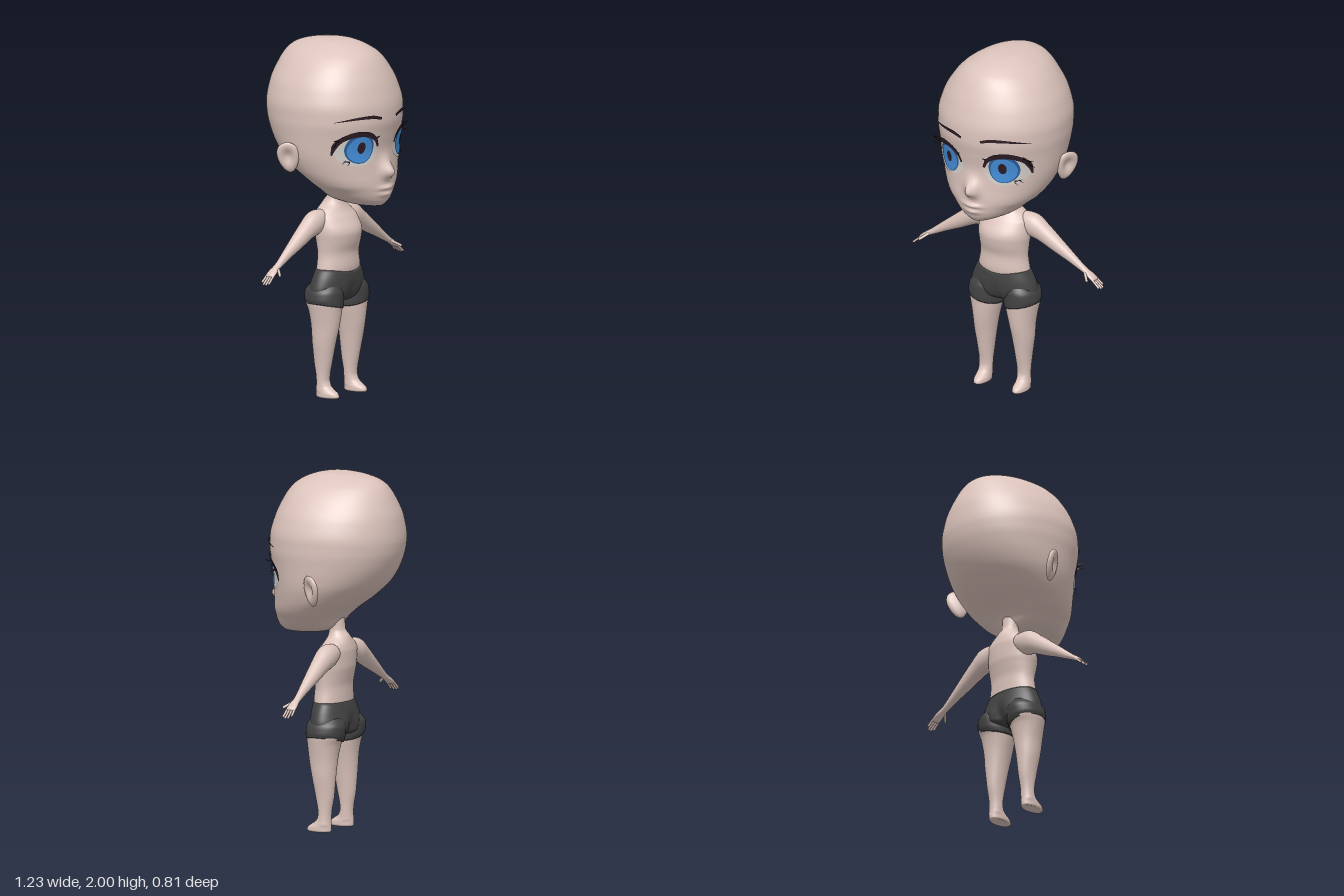
import * as THREE from 'three';

const mat = (name, color, side = THREE.FrontSide) => {
  const m = new THREE.MeshStandardMaterial({ color, side });
  m.name = name;
  return m;
};

// Smooth monotone interpolation of rows [y, ...values], listed from top to bottom.
function profile(rows, y) {
  let i = 0;
  while (i < rows.length - 2 && y < rows[i + 1][0]) i++;
  const h = rows[i + 1][0] - rows[i][0], t = (y - rows[i][0]) / h;
  const sec = (k, c) => (rows[k + 1][c] - rows[k][c]) / (rows[k + 1][0] - rows[k][0]);
  const slope = (k, c) => {
    const a = sec(Math.max(k - 1, 0), c), b = sec(Math.min(k, rows.length - 2), c);
    return a * b > 0 ? (2 * a * b) / (a + b) : 0;
  };
  return rows[i].map((v, c) => c === 0 ? y :
    v * (1 + 2 * t) * (1 - t) ** 2 + rows[i + 1][c] * t * t * (3 - 2 * t) +
    h * (slope(i, c) * t * (1 - t) ** 2 + slope(i + 1, c) * t * t * (t - 1)));
}

function levels(rows, steps) {
  const ys = [];
  for (let i = 0; i < rows.length - 1; i++)
    for (let k = 0; k < steps; k++) ys.push(rows[i][0] + (rows[i + 1][0] - rows[i][0]) * k / steps);
  return [...ys, rows[rows.length - 1][0]];
}

// Closed skin through rings of points, with both ends capped.
function loft(rings) {
  const n = rings[0].length, pos = rings.flat(2), index = [];
  for (let i = 0; i < rings.length - 1; i++)
    for (let j = 0; j < n; j++) {
      const a = i * n + j, b = i * n + (j + 1) % n;
      index.push(a, b, a + n, b, b + n, a + n);
    }
  [0, rings.length - 1].forEach((r, end) => {
    const c = pos.length / 3;
    for (let k = 0; k < 3; k++) pos.push(rings[r].reduce((s, p) => s + p[k], 0) / n);
    for (let j = 0; j < n; j++) {
      const a = r * n + j, b = r * n + (j + 1) % n;
      index.push(...(end ? [c, a, b] : [c, b, a]));
    }
  });
  return finish(pos, index);
}

function finish(pos, index) {
  const g = new THREE.BufferGeometry();
  g.setAttribute('position', new THREE.Float32BufferAttribute(pos, 3));
  g.setIndex(index);
  g.computeVertexNormals();
  return g;
}

// Upright form from rows [y, halfWidth, zFront, zBack, zCentre, xCentre]; warp edits each point.
function form(rows, steps, seg, warp = p => p, grow = 0) {
  return loft(levels(rows, steps).map(y => {
    const [, w, zf, zb, zc, cx = 0] = profile(rows, y);
    return Array.from({ length: seg }, (_, j) => {
      const a = j / seg * Math.PI * 2, s = Math.sin(a), c = Math.cos(a);
      return warp([cx + (w + grow) * c, y, zc + (s > 0 ? zf - zc + grow : zc - zb + grow) * s], s, c);
    });
  }));
}

const HEAD = [
  [2, 0, -.02, -.02, -.02], [1.995, .075, .06, -.12, -.02], [1.98, .125, .125, -.21, -.02],
  [1.955, .175, .185, -.275, -.02], [1.92, .225, .235, -.315, -.01], [1.86, .28, .278, -.35, 0],
  [1.75, .345, .328, -.39, 0], [1.64, .373, .356, -.403, 0], [1.58, .373, .358, -.396, 0],
  [1.5, .365, .345, -.37, 0], [1.4, .35, .33, -.31, .01], [1.3, .315, .336, -.2, .04],
  [1.22, .262, .343, -.09, .09], [1.18, .215, .343, -.05, .11], [1.135, .16, .335, -.02, .14],
  [1.11, .105, .322, .03, .17], [1.095, .06, .305, .1, .2], [1.088, 0, .22, .22, .22]];
const TORSO = [
  [1.22, .05, .03, -.05, -.01], [1.12, .048, .03, -.058, -.015], [1.08, .065, .037, -.085, -.025],
  [1.04, .12, .055, -.098, -.03], [1, .15, .085, -.105, -.02], [.92, .155, .125, -.103, 0],
  [.87, .15, .118, -.093, 0], [.8, .145, .1, -.08, 0], [.73, .155, .104, -.08, 0], [.66, .17, .09, -.08, 0]];
const PELVIS = [
  [.72, .157, .106, -.082, 0], [.66, .187, .108, -.1, 0], [.6, .203, .104, -.114, 0],
  [.56, .2, .09, -.108, 0], [.535, .12, .06, -.08, 0], [.525, .03, .02, -.03, 0]];
const LEG = [
  [.64, .07, .08, -.085, 0, .1], [.59, .096, .102, -.114, 0, .112], [.54, .1, .104, -.11, 0, .114],
  [.49, .092, .1, -.088, 0, .114], [.4, .074, .09, -.072, 0, .117], [.3, .061, .07, -.065, 0, .122],
  [.2, .047, .05, -.058, 0, .122], [.1, .039, .033, -.042, 0, .123], [.065, .039, .045, -.041, 0, .124],
  [.045, .04, .072, -.042, 0, .125], [.025, .041, .1, -.044, .02, .125], [.01, .041, .106, -.044, .02, .125],
  [0, .035, .097, -.036, .02, .125]];
// Arm rows: [x, y, half thickness, half depth in z]
const ARM = [
  [.09, 1, .05, .05], [.16, .982, .068, .058], [.235, .945, .054, .05], [.32, .893, .042, .04], [.4, .845, .03, .029],
  [.465, .804, .021, .021], [.5, .783, .016, .021], [.535, .762, .014, .028], [.56, .744, .011, .029], [.568, .738, .004, .022]];

// Nose and lips standing out from the face.
const bell = (d, s) => Math.exp(-((d / s) ** 2));
const relief = (x, y) =>
  .066 * bell(x, .038) * bell(y - 1.29, y > 1.29 ? .06 : .036) +
  .02 * bell(x, .055) * bell(y - 1.2, .014) + .016 * bell(x, .045) * bell(y - 1.163, .014);
function faceZ(x, y) {
  const [, w, zf, , zc] = profile(HEAD, y);
  return zc + (zf - zc) * Math.sqrt(Math.max(0, 1 - (x / w) ** 2)) + relief(x, y);
}

// Thin patch lying on the face; fn(u, v) gives [x, y, lift].
function patch(fn, nu, nv) {
  const pos = [], index = [];
  for (let i = 0; i <= nu; i++)
    for (let j = 0; j <= nv; j++) {
      const [x, y, lift] = fn(i / nu, j / nv);
      pos.push(x, y, faceZ(x, y) + lift);
      if (i < nu && j < nv) {
        const a = i * (nv + 1) + j, b = a + nv + 1;
        index.push(a, b, a + 1, b, b + 1, a + 1);
      }
    }
  return finish(pos, index);
}
const oval = (cx, cy, rx, ry, lift) => patch((u, v) =>
  [cx + rx * v * Math.cos(u * Math.PI * 2), cy + ry * v * Math.sin(u * Math.PI * 2), lift], 40, 8);
const curve = pts => new THREE.SplineCurve(pts.map(p => new THREE.Vector2(...p)));
function strip(lower, upper, lift) {
  const lo = curve(lower), up = curve(upper);
  return patch((u, v) => [...lo.getPoint(u).lerp(up.getPoint(u), v).toArray(), lift], 32, 4);
}
const spike = (x, y, tx, ty, out, wide = .008) => patch((u, v) =>
  [x + (tx - x) * u, y + (ty - y) * u + (v - .5) * 2 * wide * (1 - u), .01 + out * u], 5, 1);

export function createModel() {
  const model = new THREE.Group();
  const skin = mat('skin', 0xdcc4bc), cloth = mat('charcoal cloth', 0x424242);
  const white = mat('eye white', 0xd6d2cd, THREE.DoubleSide), rim = mat('deep blue', 0x2c5f9e, THREE.DoubleSide);
  const blue = mat('iris blue', 0x4690dc, THREE.DoubleSide), dark = mat('lash brown', 0x2c1c24, THREE.DoubleSide);
  const add = (parent, name, geo, material) => {
    const m = new THREE.Mesh(geo, material);
    m.name = name;
    parent.add(m);
    return m;
  };

  add(model, 'head', form(HEAD, 7, 96, (p, s) => [p[0], p[1], p[2] + (s > 0 ? relief(p[0], p[1]) * Math.min(1, s * 3) : 0)]), skin);
  add(model, 'torso', form(TORSO, 5, 48), skin);
  // Waistband dips at the front; the seat has a soft centre groove.
  add(model, 'shorts', form(PELVIS, 5, 64, ([x, y, z], s) => [
    x, y - (s > 0 ? .02 * s ** 4 : 0) * THREE.MathUtils.smoothstep(y, .6, .72),
    z * (1 - (s < 0 ? .3 : .12) * bell(x, .03) * (1 - THREE.MathUtils.smoothstep(y, .56, .68)))], .003), cloth);

  for (const side of [1, -1]) {
    const half = new THREE.Group();
    half.name = side > 0 ? 'leftSide' : 'rightSide';
    half.scale.x = side;
    model.add(half);

    // Leg with foot, and the short trouser leg around the thigh
    add(half, 'leg', form(LEG, 4, 36), skin);
    const cuff = [...LEG.slice(0, 3), profile(LEG, .512)];
    add(half, 'shortsLeg', form(cuff, 5, 36, ([x, y, z], s, c) =>
      [x, y + .022 * c * (1 - THREE.MathUtils.smoothstep(y, .512, .58)), z], .004), cloth);

    // Arm and palm
    const rows = [], path = curve(ARM.map(r => [r[0], r[1]]));
    const size = curve(ARM.map(r => [r[2], r[3]]));
    for (let i = 0; i <= 45; i++) {
      const p = path.getPoint(i / 45), d = path.getTangent(i / 45), r = size.getPoint(i / 45);
      rows.push(Array.from({ length: 24 }, (_, j) => {
        const a = j / 24 * Math.PI * 2, c = Math.cos(a) * r.x;
        return [p.x - d.y * c, p.y + d.x * c, -.035 + Math.sin(a) * r.y];
      }));
    }
    add(half, 'arm', loft(rows), skin);

    // Fingers and thumb
    const finger = (name, from, to, r) => {
      const a = new THREE.Vector3(...from), b = new THREE.Vector3(...to), d = b.clone().sub(a);
      const f = add(half, name, new THREE.CapsuleGeometry(r, d.length(), 4, 10), skin);
      f.position.copy(a).add(b).multiplyScalar(.5);
      f.quaternion.setFromUnitVectors(new THREE.Vector3(0, 1, 0), d.normalize());
    };
    [-.057, -.042, -.027, -.013].forEach((z, i) => {
      const reach = [.594, .606, .607, .6][i];
      finger('finger', [.55, .752, z], [reach, .752 - (reach - .55) * .85, z * 1.15 + .005], .0065);
    });
    finger('thumb', [.505, .778, -.02], [.542, .75, .02], .008);

    // Ear: flattened ball, narrow at the lobe, hollowed on the outside
    const ear = new THREE.SphereGeometry(1, 32, 24), q = ear.attributes.position;
    for (let i = 0; i < q.count; i++) {
      const x = q.getX(i), y = q.getY(i), z = q.getZ(i), k = .82 + .2 * y;
      const hollow = x > 0 ? 1.1 * bell(Math.hypot(y - .1, z), .5) : 0;
      q.setXYZ(i, (x - hollow) * .027, y * .09, z * .074 * k);
    }
    ear.computeVertexNormals();
    const e = add(half, 'ear', ear, skin);
    e.position.set(.368, 1.378, -.055);
    e.rotation.set(-.15, -.5, -.3);

    // Eye
    add(half, 'eyeWhite', oval(.178, 1.43, .113, .09, .004), white);
    add(half, 'irisRim', oval(.175, 1.44, .077, .086, .006), rim);
    add(half, 'iris', oval(.175, 1.433, .067, .073, .008), blue);
    add(half, 'pupil', oval(.172, 1.443, .021, .033, .0095), dark);
    add(half, 'upperLash', strip(
      [[.078, 1.44], [.1, 1.478], [.145, 1.502], [.21, 1.505], [.262, 1.483], [.285, 1.445], [.295, 1.405]],
      [[.066, 1.445], [.088, 1.495], [.138, 1.53], [.21, 1.537], [.268, 1.512], [.3, 1.47], [.3, 1.405]], .0097), dark);
    [[.27, 1.505, .308, 1.525, .07], [.28, 1.49, .332, 1.495, .07], [.288, 1.47, .337, 1.46, .09],
      [.09, 1.49, .07, 1.505, .01]].forEach(s => add(half, 'lashTip', spike(...s), dark));
    [[.225, 1.362, .245, 1.342, .012], [.245, 1.373, .268, 1.355, .015], [.225, 1.365, .262, 1.375, .006]]
      .forEach(s => add(half, 'lowerLash', spike(...s, .005), dark));

    // Eyebrow
    add(half, 'eyebrow', strip(
      [[.065, 1.593], [.12, 1.603], [.19, 1.605], [.25, 1.6], [.305, 1.592]],
      [[.06, 1.606], [.12, 1.622], [.19, 1.62], [.25, 1.61], [.305, 1.594]], .007), dark);
  }
  return model;
}
